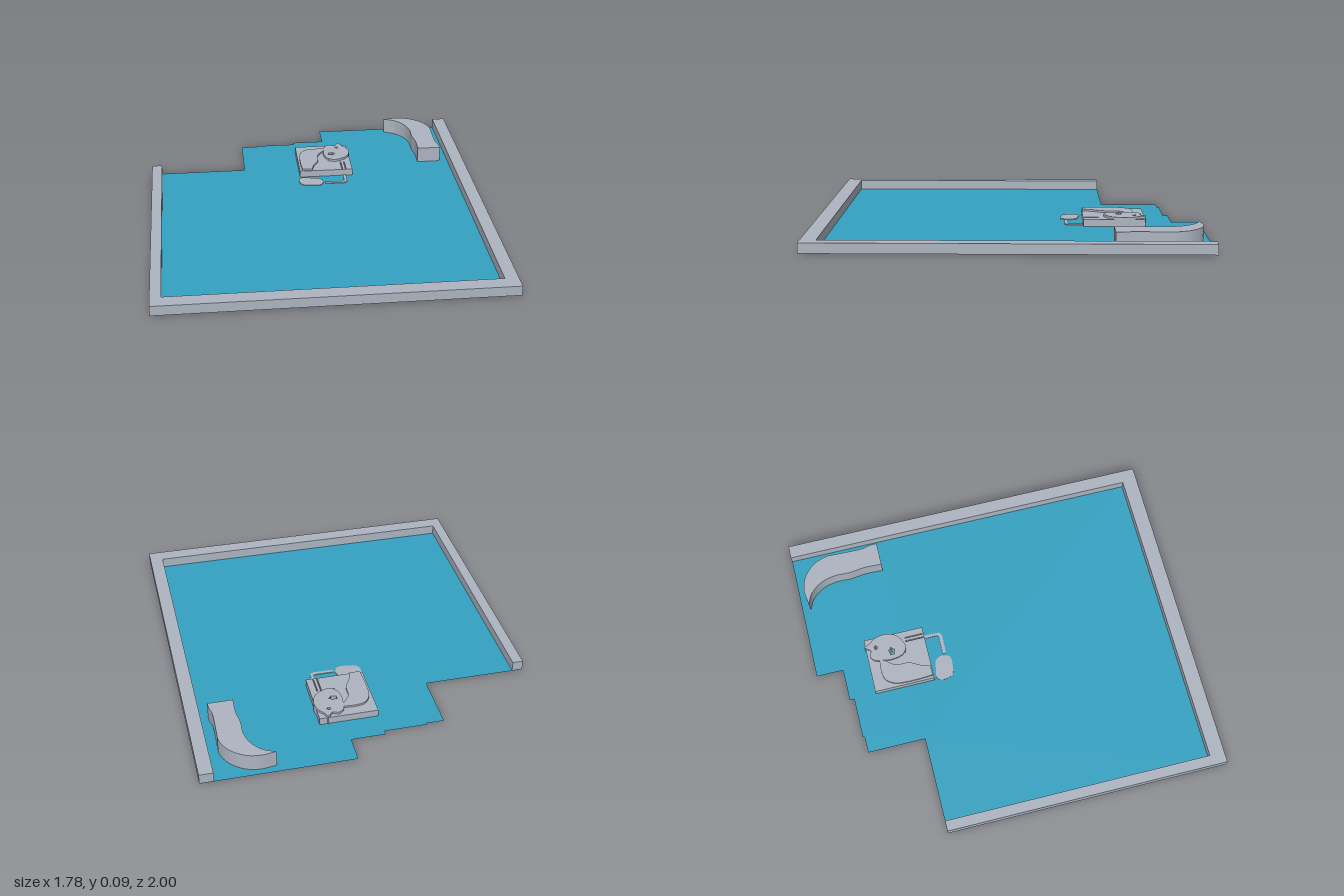
import * as THREE from 'three';

const grey = new THREE.MeshStandardMaterial({ color: 0xaeb5c1, side: THREE.DoubleSide });
grey.name = 'stone grey';
const blue = new THREE.MeshStandardMaterial({ color: 0x35a2c2, side: THREE.DoubleSide });
blue.name = 'floor blue';

// Plan points are [x, z]; shapes are drawn with y = -z and laid flat.
const vecs = (pts) => pts.map(([x, z]) => new THREE.Vector2(x, -z));
const smooth = (pts, n = 32, closed = false) => {
  const c = new THREE.CatmullRomCurve3(pts.map(([x, z]) => new THREE.Vector3(x, 0, z)), closed, 'centripetal');
  return c.getPoints(n).slice(0, closed ? n : n + 1).map((p) => [p.x, p.z]);
};
const rect = (x0, z0, x1, z1) => [[x0, z0], [x1, z0], [x1, z1], [x0, z1]];
const plan = (pts, holes = []) => {
  const s = new THREE.Shape(vecs(pts));
  holes.forEach((h) => s.holes.push(new THREE.Path(vecs(h))));
  return s;
};

function slab(name, shape, y0, y1) {
  const g = new THREE.ExtrudeGeometry(shape, { depth: y1 - y0, bevelEnabled: false });
  g.rotateX(-Math.PI / 2).translate(0, y0, 0);
  const m = new THREE.Mesh(g, grey);
  m.name = name;
  return m;
}

// Drops the faces lying on the base so the piece is hollow underneath
function openBase(mesh, y0) {
  const p = mesh.geometry.attributes.position;
  const kept = [];
  for (let i = 0; i < p.count; i += 3) {
    if ([0, 1, 2].every((k) => Math.abs(p.getY(i + k) - y0) < 1e-5)) continue;
    for (let k = 0; k < 3; k++) kept.push(p.getX(i + k), p.getY(i + k), p.getZ(i + k));
  }
  const g = new THREE.BufferGeometry();
  g.setAttribute('position', new THREE.Float32BufferAttribute(kept, 3));
  g.computeVertexNormals();
  mesh.geometry = g;
  return mesh;
}

export function createModel() {
  const model = new THREE.Group();
  model.name = 'walledFloor';

  // Curved horn-shaped block outline
  const horn = [
    ...smooth([[0.775, -0.52], [0.772, -0.56], [0.763, -0.6], [0.765, -0.75], [0.765, -0.81],
      [0.73, -0.89], [0.66, -0.948], [0.59, -0.965], [0.51, -0.955]], 32),
    ...smooth([[0.51, -0.955], [0.57, -0.925], [0.62, -0.86], [0.64, -0.78], [0.638, -0.7],
      [0.648, -0.62], [0.645, -0.52]], 24).slice(1),
  ];

  // Stepped thin floor, cut out beneath the horn block
  const floorShape = plan([
    [-0.885, 0.995], [0.885, 0.995], [0.885, -1], [0.12, -1], [0.12, -0.855], [-0.055, -0.855],
    [-0.055, -0.83], [-0.275, -0.83], [-0.275, -0.82], [-0.365, -0.82], [-0.365, -0.51], [-0.885, -0.51],
  ], [horn]);
  const floor = new THREE.Mesh(new THREE.ShapeGeometry(floorShape).rotateX(-Math.PI / 2), blue);
  floor.position.y = 0.002;
  floor.name = 'floor';
  model.add(floor);

  // Border wall on three sides
  model.add(slab('borderWall', plan([
    [-0.89, -0.51], [-0.89, 1], [0.89, 1], [0.89, -1], [0.82, -1], [0.82, 0.92], [-0.835, 0.92], [-0.835, -0.51],
  ]), 0.003, 0.055));

  model.add(openBase(slab('hornBlock', plan(horn), 0.001, 0.088), 0.001));

  // Small relief: panel, arched body, round head, leg and foot
  const relief = new THREE.Group();
  relief.name = 'relief';
  const spot = (x, z, rx, rz) => Array.from({ length: 10 }, (_, i) => {
    const a = (i / 10) * Math.PI * 2, r = i % 2 ? 0.65 : 1;
    return [x + rx * r * Math.cos(a), z + rz * r * Math.sin(a)];
  });
  const spots = [spot(0.145, -0.575, 0.025, 0.018), spot(0.145, -0.513, 0.028, 0.014), spot(0.185, -0.655, 0.013, 0.01)];
  relief.add(slab('panel', plan(rect(-0.055, -0.71, 0.245, -0.385),
    [...spots, rect(0.185, -0.49, 0.19, -0.39), rect(0.205, -0.49, 0.21, -0.39)]), 0.003, 0.04));

  const body = [
    ...smooth([[-0.04, -0.39], [-0.045, -0.5], [-0.035, -0.6], [0, -0.645], [0.06, -0.655], [0.115, -0.65]], 20),
    ...smooth([[0.1, -0.62], [0.065, -0.57], [0.06, -0.5], [0.03, -0.44], [0.015, -0.39]], 16),
  ];
  relief.add(slab('archedBody', plan(body), 0, 0.05));

  const head = smooth([[0.105, -0.63], [0.115, -0.675], [0.145, -0.695], [0.175, -0.685], [0.2, -0.715],
    [0.215, -0.685], [0.24, -0.65], [0.25, -0.59], [0.23, -0.535], [0.19, -0.505], [0.15, -0.495],
    [0.115, -0.52], [0.1, -0.58]], 48, true);
  relief.add(slab('head', plan(head, spots), 0, 0.052));

  const leg = [[0.19, -0.385], [0.19, -0.315], [0.18, -0.308], [0.08, -0.308], [0.08, -0.29],
    [0.185, -0.288], [0.205, -0.3], [0.208, -0.385]];
  relief.add(slab('leg', plan(leg), 0, 0.006));

  const foot = smooth([[-0.065, -0.34], [-0.05, -0.37], [0, -0.365], [0.05, -0.355], [0.07, -0.32],
    [0.055, -0.275], [0, -0.272], [-0.05, -0.285]], 32, true);
  relief.add(slab('foot', plan(foot), 0, 0.006));
  model.add(relief);

  return model;
}
